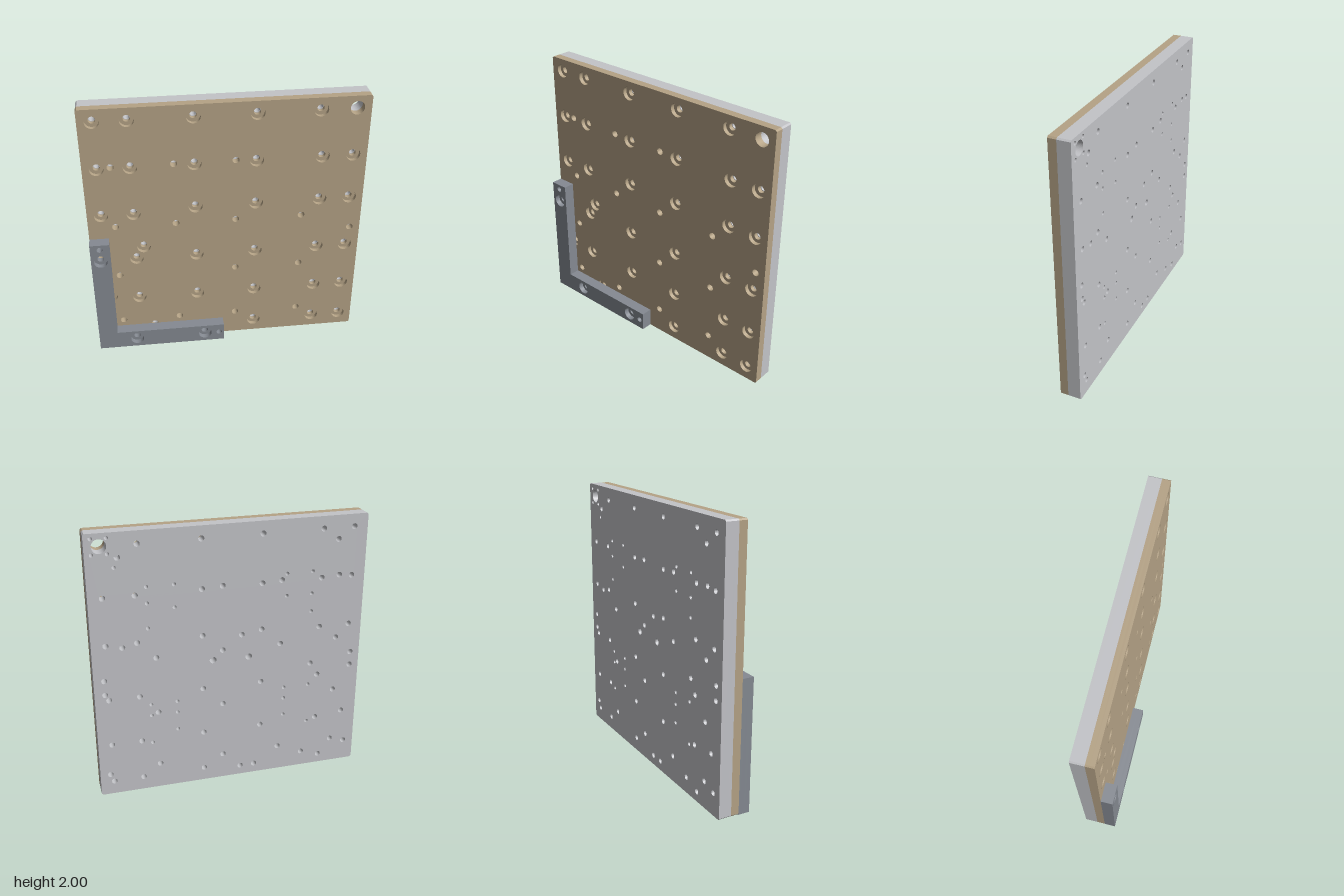
import * as THREE from 'three';

const material = (name, color) => {
  const m = new THREE.MeshStandardMaterial({ color });
  m.name = name;
  return m;
};

// expand { y, xs } rows into [x, y] points
const rows = (list) => list.flatMap(([y, ...xs]) => xs.map((x) => [x, y]));

// counterbored screw holes in the plate
const screws = rows([
  [1.91, -0.9, -0.67, -0.225, 0.213, 0.65],
  [1.55, -0.9, -0.67, -0.225, 0.213, 0.68, 0.9],
  [1.2, -0.225, 0.213, 0.68, 0.9],
  [1.17, -0.9, -0.67],
  [0.88, -0.612],
  [0.78, -0.67, -0.225, 0.213, 0.68, 0.9],
  [0.415, -0.67, -0.225, 0.213, 0.68, 0.9],
  [0.105, 0.213, 0.68, 0.9],
  [0.44, -0.885],
  [0.12, -0.565],
]);

// plain through holes
const pins = rows([
  [1.56, -0.805, -0.37, 0.065],
  [1.07, -0.805, -0.37, 0.065, 0.55],
  [0.935, 0.925],
  [0.635, -0.805, 0.065, 0.55],
  [0.2, -0.805, -0.37, 0.065, 0.55],
]);

// bracket holes, also drilled through the plates behind
const bracketScrews = [[-0.93, 0.83], [-0.71, 0.075], [-0.18, 0.075]];
const bracketPins = [[-0.93, 0.935], [-0.07, 0.075]];

// blind holes drilled from the back
const blindMedium = rows([
  [1.826, 0.785, -0.785],
  [1.175, 0.785, -0.077],
  [0.826, 0.925],
  [0.166, 0.925, -0.92],
]);
const blindLarge = [[0.138, 1.0], [-0.13, 0.995]];
const blindSmall = rows([
  [1.758, 0.81],
  [1.604, 0.6, 0.408, -0.408, -0.6],
  [1.485, 0.6],
  [1.437, 0.408, -0.408, -0.6],
  [1.3, 0.6, -0.6],
  [0.705, 0.6, 0.408, -0.408, -0.6],
  [0.615, 0.6, 0.408, -0.408],
  [0.475, 0.408, -0.408],
  [0.39, 0.6, -0.6],
  [1.855, 0.848, 0.952],
  [1.965, 0.848, 0.952],
]);
const port = [[0.9, 1.91]];

// flat layer between two depths, pierced by [points, radius] groups
function layer(outline, z0, z1, holeGroups) {
  const shape = new THREE.Shape(outline.map(([x, y]) => new THREE.Vector2(x, y)));
  for (const [points, r] of holeGroups) {
    for (const [x, y] of points) {
      shape.holes.push(new THREE.Path().absarc(x, y, r, 0, Math.PI * 2, true));
    }
  }
  const geometry = new THREE.ExtrudeGeometry(shape, {
    depth: z1 - z0, bevelEnabled: false, curveSegments: 20,
  });
  return geometry.translate(0, 0, z0);
}

export function createModel() {
  const model = new THREE.Group();
  model.name = 'drilledFixturePlate';
  const tan = material('tan', 0xb5a386);
  const silver = material('silver', 0xc3c4c8);
  const steel = material('steelGrey', 0x858a92);

  const add = (name, mat, ...args) => {
    const mesh = new THREE.Mesh(layer(...args), mat);
    mesh.name = name;
    model.add(mesh);
  };

  // square outline with tiny corner chamfers
  const c = 0.01;
  const square = [
    [-1 + c, 0], [1 - c, 0], [1, c], [1, 2 - c],
    [1 - c, 2], [-1 + c, 2], [-1, 2 - c], [-1, c],
  ];
  const under = [...bracketScrews, ...bracketPins];
  const through = [[[...screws, ...pins, ...under], 0.021], [port, 0.05]];

  // tan front plate: counterbores in the front layer
  add('frontPlateFace', tan, square, 0.005, 0.035,
    [[screws, 0.05], [[...pins, ...under], 0.025], [port, 0.05]]);
  add('frontPlateBase', tan, square, -0.025, 0.005,
    [[[...screws, ...pins, ...under], 0.025], [port, 0.05]]);

  // silver back plate: blind holes stop short of the tan plate
  add('backPlateCore', silver, square, -0.045, -0.025, through);
  add('backPlateFace', silver, square, -0.12, -0.045,
    [...through, [blindMedium, 0.021], [blindLarge, 0.025], [blindSmall, 0.014]]);

  // L-shaped corner bracket
  const ell = [[-1, 0], [-0.032, 0], [-0.032, 0.145], [-0.86, 0.145], [-0.86, 0.975], [-1, 0.975]];
  add('bracketFace', steel, ell, 0.08, 0.12, [[bracketScrews, 0.05], [bracketPins, 0.021]]);
  add('bracketBase', steel, ell, 0.035, 0.08, [[bracketScrews, 0.025], [bracketPins, 0.021]]);

  return model;
}
